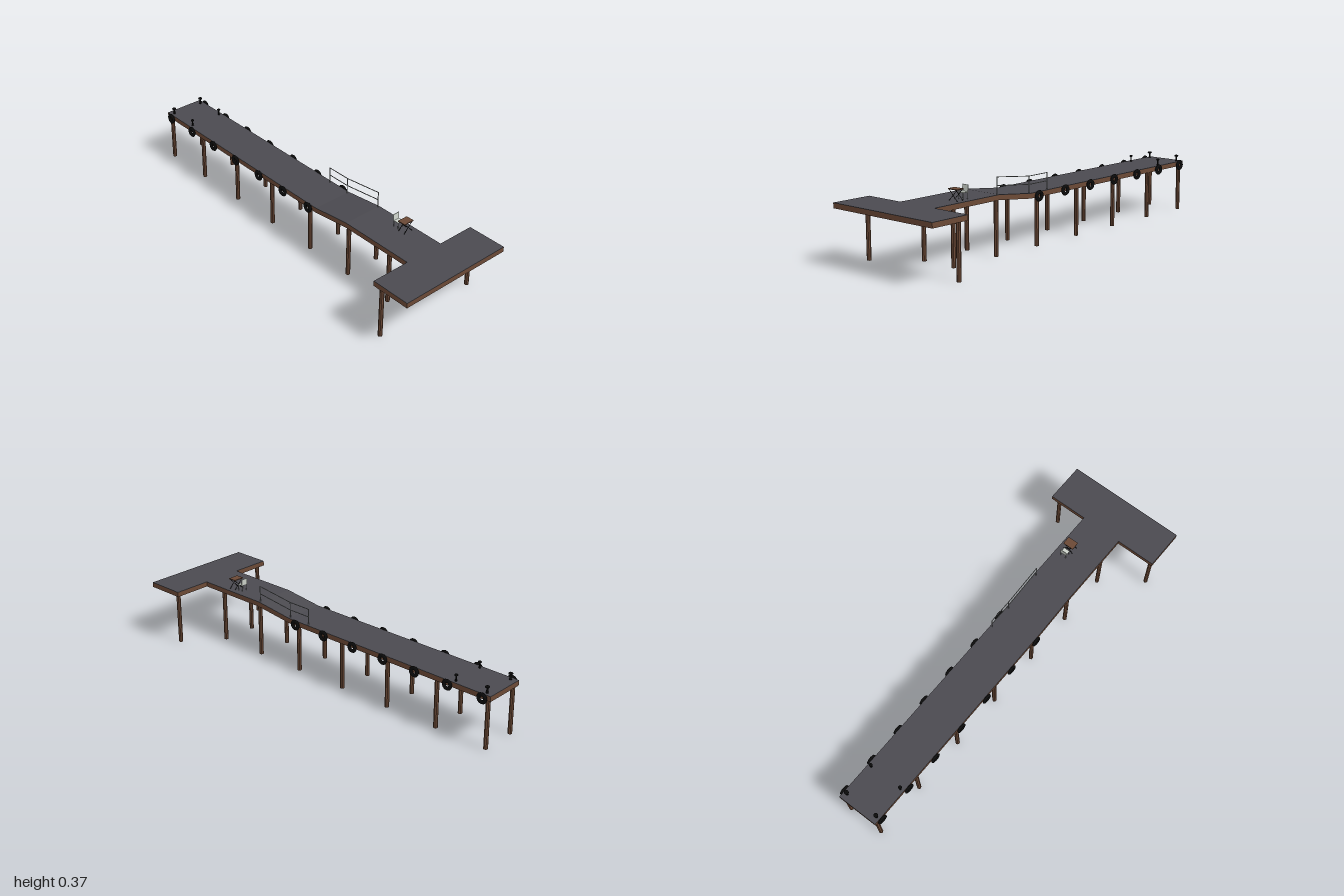
import * as THREE from 'three';

const mat = (name, color, extra = {}) => {
  const m = new THREE.MeshStandardMaterial({ color, ...extra });
  m.name = name;
  return m;
};

// The pier runs slightly askew: its centre line drifts in z along x.
const SLOPE = 0.031;
const centre = (x) => -0.032 + SLOPE * x;
const deckY = (x) => 0.26 + 0.025 * THREE.MathUtils.clamp((x - 0.2) / 0.21, 0, 1);

export function createModel() {
  const root = new THREE.Group();
  const wood = mat('brown wood', 0x6b4936);
  const surface = mat('dark grey decking', 0x4b4a50);
  const rubber = mat('black rubber', 0x0b0b0b);
  const metal = mat('grey metal', 0x8b8f8f);
  const plastic = mat('pale plastic', 0xcdd3cb);

  const add = (parent, name, geometry, material, x = 0, y = 0, z = 0) => {
    const mesh = new THREE.Mesh(geometry, material);
    mesh.name = name;
    mesh.position.set(x, y, z);
    parent.add(mesh);
    return mesh;
  };

  const rod = (parent, name, a, b, r, material, sides = 6) => {
    const p = new THREE.Vector3(...a), q = new THREE.Vector3(...b);
    const d = q.clone().sub(p);
    const m = add(parent, name, new THREE.CylinderGeometry(r, r, d.length(), sides), material);
    m.position.copy(p).add(q).multiplyScalar(0.5);
    m.quaternion.setFromUnitVectors(new THREE.Vector3(0, 1, 0), d.normalize());
    return m;
  };

  // Side profile extruded across the pier and sheared along the centre line
  const slab = (name, xs, width, top, bottom, material) => {
    const pts = [
      ...xs.map((x) => new THREE.Vector2(x, deckY(x) - bottom)),
      ...[...xs].reverse().map((x) => new THREE.Vector2(x, deckY(x) - top)),
    ];
    const g = new THREE.ExtrudeGeometry(new THREE.Shape(pts), { depth: width, bevelEnabled: false });
    g.translate(0, 0, -width / 2);
    const p = g.attributes.position;
    for (let i = 0; i < p.count; i++) p.setZ(i, p.getZ(i) + centre(p.getX(i)));
    g.computeVertexNormals();
    return add(root, name, g, material);
  };

  // Decks: long walkway with a ramp, and the wide head
  const walk = [-1, 0.2, 0.41, 0.8], head = [0.8, 1];
  slab('walkwayFrame', walk, 0.21, 0.002, 0.025, wood);
  slab('walkwaySurface', walk, 0.21, 0, 0.002, surface);
  for (const m of [
    slab('headFrame', head, 0.604, 0.002, 0.025, wood),
    slab('headSurface', head, 0.604, 0, 0.002, surface),
  ]) m.position.z = 0.003;

  // Piles
  const pile = (x, z) => {
    const h = deckY(x) - 0.02;
    const m = add(root, 'pile', new THREE.CylinderGeometry(0.0105, 0.0105, h, 8).toNonIndexed(), wood, x, h / 2, z);
    m.geometry.computeVertexNormals();
  };
  for (const x of [-0.98, -0.705, -0.42, -0.14, 0.145, 0.415, 0.68])
    for (const s of [-1, 1]) pile(x, centre(x) + s * 0.091);
  pile(0.83, 0.276);
  pile(0.83, -0.279);

  // Tyre fenders along both sides
  const tyre = new THREE.TorusGeometry(0.0178, 0.0092, 8, 20);
  tyre.scale(1, 1, 0.75);
  for (let i = 0; i < 7; i++)
    for (const s of [-1, 1]) {
      const x = -0.96 + i * 0.185;
      add(root, 'tyreFender', tyre, rubber, x, 0.242, centre(x) + s * 0.112).rotation.y = -SLOPE;
    }

  // Mooring bollards
  const bollard = new THREE.LatheGeometry(
    [[0, 0], [0.007, 0], [0.005, 0.003], [0.004, 0.022], [0.01, 0.026], [0.011, 0.029], [0.009, 0.032], [0, 0.033]]
      .map(([x, y]) => new THREE.Vector2(x, y)), 12);
  for (const [x, size] of [[-0.968, 1], [-0.803, 0.8]])
    for (const s of [-1, 1])
      add(root, 'bollard', bollard, rubber, x, 0.26, centre(x) + s * 0.086).scale.set(size, 1, size);

  // Handrail beside the ramp
  const rail = new THREE.Group();
  rail.name = 'handrail';
  root.add(rail);
  const at = (x, h) => [x, deckY(x) + h, centre(x) - 0.094];
  const stops = [0.077, 0.2, 0.41];
  stops.forEach((x, i) => {
    rod(rail, 'railPost', at(x, 0), at(x, 0.08), 0.0022, metal);
    if (i) for (const h of [0.04, 0.079])
      rod(rail, 'railBar', at(stops[i - 1], h), at(x, h), 0.002, metal);
  });

  // Folding table with crossed legs
  const table = new THREE.Group();
  table.name = 'table';
  table.position.set(0.627, 0.285, -0.069);
  root.add(table);
  add(table, 'tableTop', new THREE.BoxGeometry(0.042, 0.004, 0.055), wood, 0, 0.052, 0);
  for (const x of [-0.017, 0.017])
    for (const s of [-1, 1])
      rod(table, 'tableLeg', [x, 0, -s * 0.025], [x, 0.051, s * 0.025], 0.0014, rubber);

  // Chair facing the table
  const chair = new THREE.Group();
  chair.name = 'chair';
  chair.position.set(0.583, 0.285, -0.069);
  root.add(chair);
  add(chair, 'chairSeat', new THREE.BoxGeometry(0.03, 0.003, 0.032), plastic, 0, 0.031, 0);
  add(chair, 'chairBack', new THREE.BoxGeometry(0.003, 0.031, 0.034), plastic, -0.015, 0.048, 0).rotation.z = 0.08;
  for (const x of [-0.013, 0.013])
    for (const z of [-0.014, 0.014])
      rod(chair, 'chairLeg', [x, 0, z], [x, 0.03, z], 0.0016, metal);

  return root;
}
